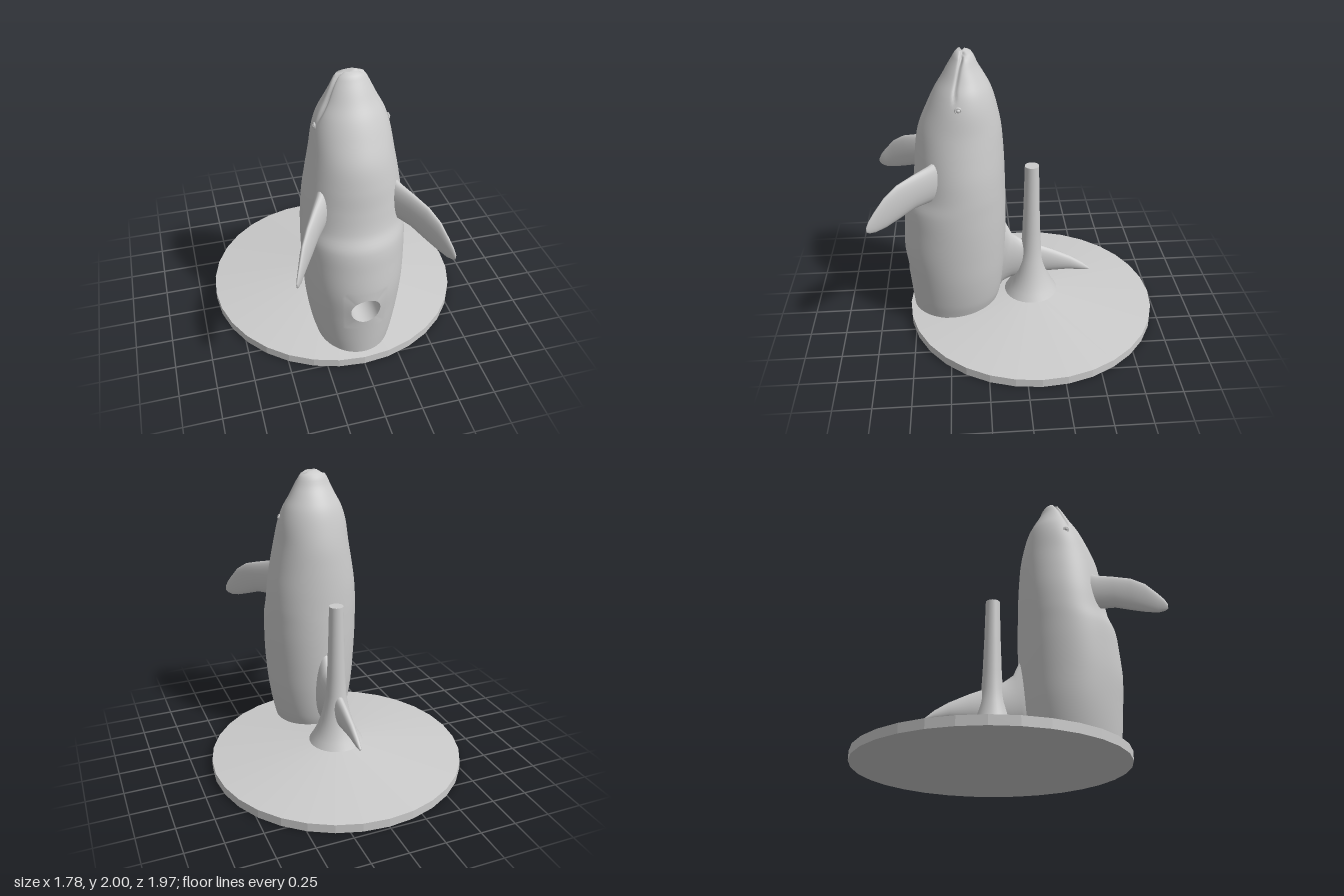
import * as THREE from 'three';

const grey = new THREE.MeshStandardMaterial({ color: 0xcccccc });
const flatGrey = new THREE.MeshStandardMaterial({ color: 0xcccccc, flatShading: true });
const twoSided = new THREE.MeshStandardMaterial({ color: 0xcccccc, side: THREE.DoubleSide });

// Body profile: height, belly z, back z, half width
const PROFILE = [
  [0.085, 0.765, 0.17, 0.25], [0.2, 0.775, 0.135, 0.28], [0.4, 0.79, 0.108, 0.312],
  [0.6, 0.805, 0.095, 0.328], [0.8, 0.79, 0.09, 0.336], [0.95, 0.77, 0.09, 0.336],
  [1.05, 0.725, 0.092, 0.33], [1.2, 0.7, 0.095, 0.317], [1.35, 0.685, 0.102, 0.293],
  [1.5, 0.655, 0.115, 0.265], [1.65, 0.59, 0.145, 0.24], [1.75, 0.54, 0.175, 0.208],
  [1.83, 0.49, 0.215, 0.165], [1.9, 0.45, 0.255, 0.13], [1.96, 0.413, 0.28, 0.1],
  [1.985, 0.398, 0.3, 0.08], [2.0, 0.38, 0.33, 0.05],
];

// Smooth (cubic Hermite) lookup of one profile column at height y
function profileAt(y, col) {
  const P = PROFILE, n = P.length;
  let i = 0;
  while (i < n - 2 && y > P[i + 1][0]) i++;
  const slope = (k) => {
    const a = P[Math.max(k - 1, 0)], b = P[Math.min(k + 1, n - 1)];
    return (b[col] - a[col]) / (b[0] - a[0]);
  };
  const h = P[i + 1][0] - P[i][0], t = Math.min(1, (y - P[i][0]) / h);
  const t2 = t * t, t3 = t2 * t;
  return (2 * t3 - 3 * t2 + 1) * P[i][col] + (t3 - 2 * t2 + t) * h * slope(i)
    + (3 * t2 - 2 * t3) * P[i + 1][col] + (t3 - t2) * h * slope(i + 1);
}

// Point on the body skin; angle 0 is the belly, growing towards +x
function skin(a, y) {
  const f = profileAt(y, 1), b = profileAt(y, 2), w = profileAt(y, 3);
  let x = w * Math.sin(a), z = (f + b) / 2 + ((f - b) / 2) * Math.cos(a);
  // mouth groove
  const mouthZ = 0.352 + 0.055 * Math.min(1, (2 - y) / 0.22);
  const fade = THREE.MathUtils.smoothstep(y, 1.7, 1.76);
  const k = fade * Math.exp(-(((z - mouthZ) / 0.011) ** 2));
  const up = THREE.MathUtils.smoothstep(y, 1.9, 2);
  return [x - Math.sign(x) * Math.min(Math.abs(x), 0.014 * k), y - 0.022 * k * up, z];
}

function geometryFrom(points, index) {
  const g = new THREE.BufferGeometry();
  g.setAttribute('position', new THREE.Float32BufferAttribute(points.flat(), 3));
  g.setIndex(index);
  g.computeVertexNormals();
  return g;
}

function named(name, geometry, material = grey) {
  const m = new THREE.Mesh(geometry, material);
  m.name = name;
  return m;
}

function makeBody() {
  const group = new THREE.Group();
  group.name = 'body';
  const C = 128, R = 90, K = 9, r0 = 12, r1 = 26, radius = 0.098;
  const rowY = (i) => 0.085 + (1.915 * i) / R;
  const holeY = rowY((r0 + r1) / 2);
  const id = (i, j) => i * C + ((j + C) % C);
  const pts = [], idx = [];
  const quad = (a, b, c, d) => idx.push(a, b, c, a, c, d);
  for (let i = 0; i <= R; i++)
    for (let j = 0; j < C; j++) pts.push(skin((j / C) * Math.PI * 2, rowY(i)));
  // skin with a window left open for the round hole
  for (let i = 0; i < R; i++)
    for (let j = -C / 2; j < C / 2; j++) {
      if (i >= r0 && i < r1 && j >= -K && j < K) continue;
      quad(id(i, j), id(i, j + 1), id(i + 1, j + 1), id(i + 1, j));
    }
  // snout cap
  const tip = pts.push([0, 1.985, 0.353]) - 1;
  for (let j = 0; j < C; j++) idx.push(id(R, j), id(R, j + 1), tip);
  // join the window's border to the hole's rim
  const border = [];
  for (let j = -K; j < K; j++) border.push(id(r0, j));
  for (let i = r0; i < r1; i++) border.push(id(i, K));
  for (let j = K; j > -K; j--) border.push(id(r1, j));
  for (let i = r1; i > r0; i--) border.push(id(i, -K));
  const rim = border.map((b) => {
    const t = Math.atan2(pts[b][1] - holeY, pts[b][0]);
    const y = holeY + radius * Math.sin(t);
    return skin(Math.asin((radius * Math.cos(t)) / profileAt(y, 3)), y);
  });
  const n = border.length, first = pts.length;
  pts.push(...rim);
  for (let k = 0; k < n; k++) {
    const m = (k + 1) % n;
    quad(border[k], border[m], first + m, first + k);
  }
  group.add(named('skin', geometryFrom(pts, idx)));

  // pocket behind the hole
  const floorZ = 0.54, wall = [...rim, ...rim.map(([x, y]) => [x, y, floorZ])], wallIdx = [];
  for (let k = 0; k < n; k++) {
    const m = (k + 1) % n;
    wallIdx.push(k, m, n + m, k, n + m, n + k);
  }
  group.add(named('holeWall', geometryFrom(wall, wallIdx), twoSided));
  const floor = named('holeFloor', new THREE.CircleGeometry(radius, 32));
  floor.position.set(0, holeY, floorZ);
  group.add(floor);

  // flat underside
  const under = pts.slice(0, C), underIdx = [];
  under.push([0, 0.085, 0.467]);
  for (let j = 0; j < C; j++) underIdx.push((j + 1) % C, j, C);
  group.add(named('underside', geometryFrom(under, underIdx)));
  return group;
}

// Loft of lens sections: { a: leading edge, b: trailing edge, t: half thickness }
function finGeometry(sections, sides = 24) {
  const mid = (s) => s.a.clone().add(s.b).multiplyScalar(0.5);
  const n = sections.length, dir = mid(sections[n - 1]).sub(mid(sections[0]));
  const pts = [], idx = [];
  sections.forEach((s) => {
    const c = mid(s), chord = s.a.clone().sub(c);
    const thick = dir.clone().cross(chord).normalize().multiplyScalar(s.t);
    for (let j = 0; j < sides; j++) {
      const a = (j / sides) * Math.PI * 2;
      pts.push(c.clone().addScaledVector(chord, Math.cos(a)).addScaledVector(thick, Math.sin(a)).toArray());
    }
  });
  const tip = pts.push(mid(sections[n - 1]).toArray()) - 1;
  for (let j = 0; j < sides; j++) {
    const k = (j + 1) % sides;
    for (let i = 0; i < n - 1; i++) {
      const p = i * sides, q = p + sides;
      idx.push(p + j, p + k, q + k, p + j, q + k, q + j);
    }
    idx.push((n - 1) * sides + j, (n - 1) * sides + k, tip);
  }
  return geometryFrom(pts, idx);
}

export function createModel() {
  const model = new THREE.Group();
  const v2 = (list) => list.map(([x, y]) => new THREE.Vector2(x, y));

  // shallow conical base and flared post
  const base = named('base', new THREE.LatheGeometry(
    v2([[0, 0], [0.89, 0], [0.89, 0.06], [0.19, 0.145], [0, 0.145]]), 32), flatGrey);
  const post = named('post', new THREE.LatheGeometry(
    v2([[0.195, 0.14], [0.165, 0.19], [0.135, 0.25], [0.108, 0.33], [0.087, 0.42],
      [0.072, 0.51], [0.064, 0.65], [0.056, 0.88], [0.049, 1.165]]), 32));
  const postTop = named('postTop', new THREE.CircleGeometry(0.049, 32).rotateX(-Math.PI / 2));
  base.position.z = post.position.z = -0.093;
  postTop.position.set(0, 1.165, -0.093);
  model.add(base, post, postTop, makeBody());

  // dorsal fin: upper z, y, lower z, y, half thickness
  const dorsal = [
    [0.2, 0.82, 0.24, 0.1, 0.09], [0.09, 0.72, 0.16, 0.14, 0.075], [0.05, 0.63, 0.12, 0.22, 0.068],
    [-0.02, 0.575, 0.06, 0.255, 0.058], [-0.12, 0.53, -0.06, 0.28, 0.048],
    [-0.25, 0.475, -0.22, 0.295, 0.038], [-0.38, 0.41, -0.37, 0.3, 0.028],
    [-0.47, 0.35, -0.47, 0.288, 0.02], [-0.525, 0.3, -0.52, 0.285, 0.008],
  ].map(([az, ay, bz, by, t]) => ({ a: new THREE.Vector3(0, ay, az), b: new THREE.Vector3(0, by, bz), t }));
  model.add(named('dorsalFin', finGeometry(dorsal)));

  // flippers: x, z, top y, bottom y, half thickness
  const flipper = [
    [0.19, 0.48, 1.37, 1.04, 0.06], [0.25, 0.59, 1.315, 1.06, 0.048], [0.31, 0.69, 1.285, 1.05, 0.037],
    [0.37, 0.79, 1.25, 1.01, 0.03], [0.42, 0.87, 1.19, 0.98, 0.022],
    [0.455, 0.935, 1.11, 0.967, 0.015], [0.475, 0.97, 1.06, 0.972, 0.01], [0.486, 0.988, 1.02, 0.985, 0.005],
  ];
  for (const [side, s] of [['left', 1], ['right', -1]]) {
    const sections = flipper.map(([x, z, top, bottom, t]) => ({
      a: new THREE.Vector3(s * x, top, z), b: new THREE.Vector3(s * x, bottom, z), t,
    }));
    model.add(named(side + 'Flipper', finGeometry(sections)));

    // eye with a raised lid ring
    const eye = new THREE.Group();
    eye.name = side + 'Eye';
    const lid = named('eyelid', new THREE.TorusGeometry(0.018, 0.006, 8, 20));
    const ball = named('eyeball', new THREE.SphereGeometry(0.014, 16, 10));
    eye.add(lid, ball);
    eye.position.set(s * 0.229, 1.68, 0.39);
    eye.rotation.y = s * Math.PI / 2;
    model.add(eye);
  }
  return model;
}
